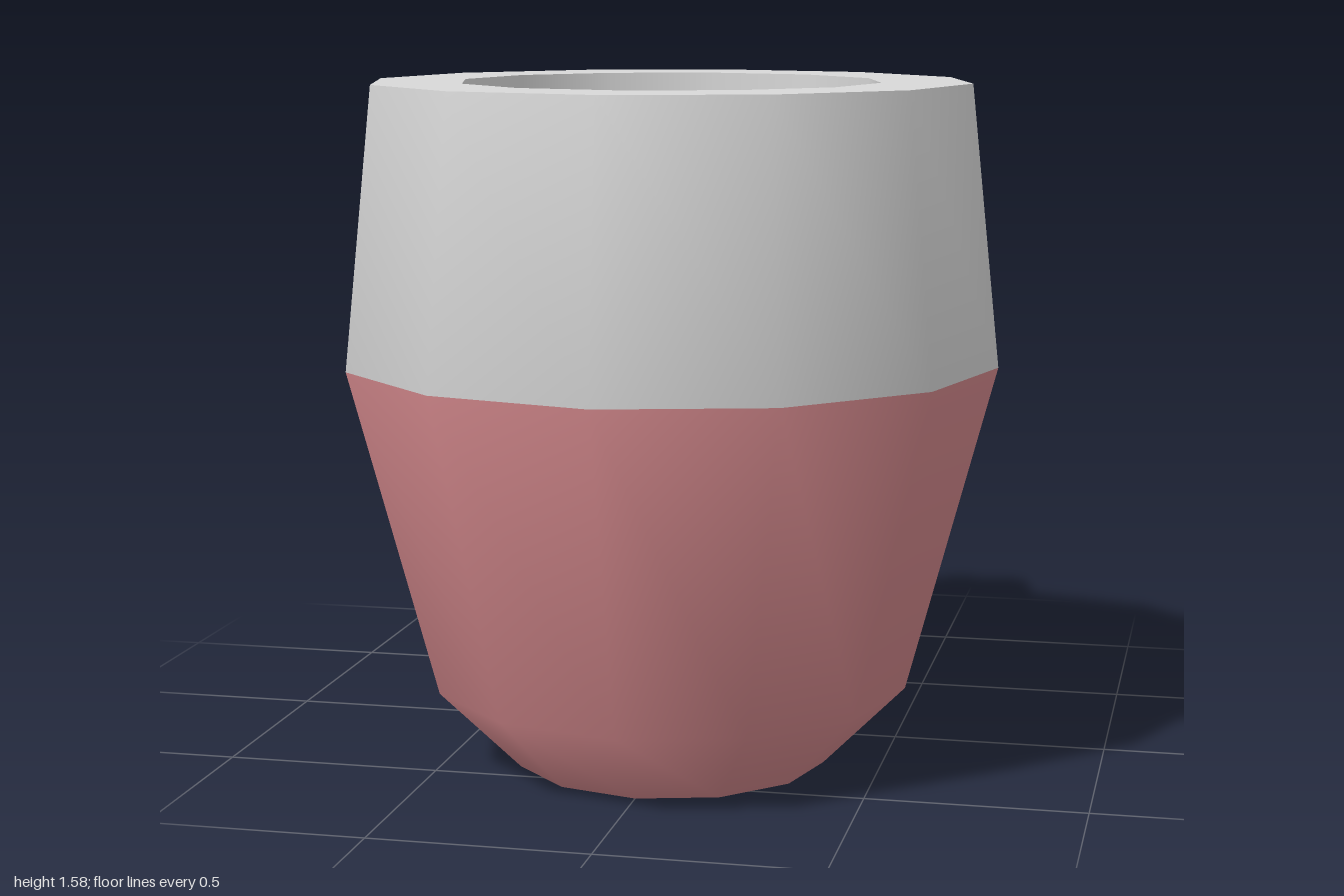
import * as THREE from 'three';
import { toCreasedNormals } from 'three/addons/utils/BufferGeometryUtils.js';

const SIDES = 12;
const CUP_Z = 0.244;
const TOP = 1.58;
const DRINK_Y = 1.3;
const INNER_R = 0.484;

const v2 = (x, y) => new THREE.Vector2(x, y);

export function createModel() {
  const material = (name, color) => {
    const m = new THREE.MeshStandardMaterial({ color });
    m.name = name;
    return m;
  };
  const grey = material('pale grey glaze', 0xd8d8d8);
  const red = material('dusty red glaze', 0xd0868a);
  const coffee = material('milky coffee', 0xc7a691);

  const model = new THREE.Group();
  model.name = 'mug';
  const cup = new THREE.Group();
  cup.name = 'cup';
  cup.position.z = CUP_Z;
  model.add(cup);

  const add = (parent, name, geometry, mat) => {
    const mesh = new THREE.Mesh(geometry, mat);
    mesh.name = name;
    parent.add(mesh);
    return mesh;
  };

  // Outer wall: two red bands below one grey band, shaded as one smooth surface
  const profile = [v2(0.365, 0), v2(0.555, 0.19), v2(0.757, 0.945), v2(0.69, TOP)];
  const wall = new THREE.LatheGeometry(profile, SIDES);
  for (let i = 0; i < SIDES; i++) {
    wall.addGroup(i * 18, 12, 0);
    wall.addGroup(i * 18 + 12, 6, 1);
  }
  add(cup, 'outerWall', wall, [red, grey]);

  // Underside
  add(cup, 'base', new THREE.CircleGeometry(0.365, SIDES).rotateX(Math.PI / 2), red);

  // Flat rim, inner wall and drink surface
  const rim = new THREE.RingGeometry(INNER_R, 0.69, SIDES).rotateX(-Math.PI / 2);
  add(cup, 'rim', rim, grey).position.y = TOP;
  const inner = new THREE.LatheGeometry([v2(INNER_R, TOP), v2(INNER_R, DRINK_Y)], SIDES);
  add(cup, 'innerWall', inner, grey);
  const drink = new THREE.CircleGeometry(INNER_R, SIDES).rotateX(-Math.PI / 2);
  add(cup, 'drink', drink, coffee).position.y = DRINK_Y;

  // Handle: half an octagonal ring with both ends sunk into the wall
  const arc = (r) => [0, 1, 2, 3, 4].map((i) => {
    const a = Math.PI / 2 - (i * Math.PI) / 4;
    return v2(0.49 + r * Math.cos(a), 0.902 + r * Math.sin(a));
  });
  const outline = new THREE.Shape([
    v2(0.39, 1.41), ...arc(0.508), v2(0.29, 0.394),
    v2(0.34, 0.615), ...arc(0.287).reverse(), v2(0.39, 1.189),
  ]);
  const handle = new THREE.ExtrudeGeometry(outline, { depth: 0.21, bevelEnabled: false });
  handle.translate(0, 0, -0.105).rotateY(Math.PI / 2);
  add(model, 'handle', toCreasedNormals(handle, Math.PI * 0.3), grey);

  return model;
}
